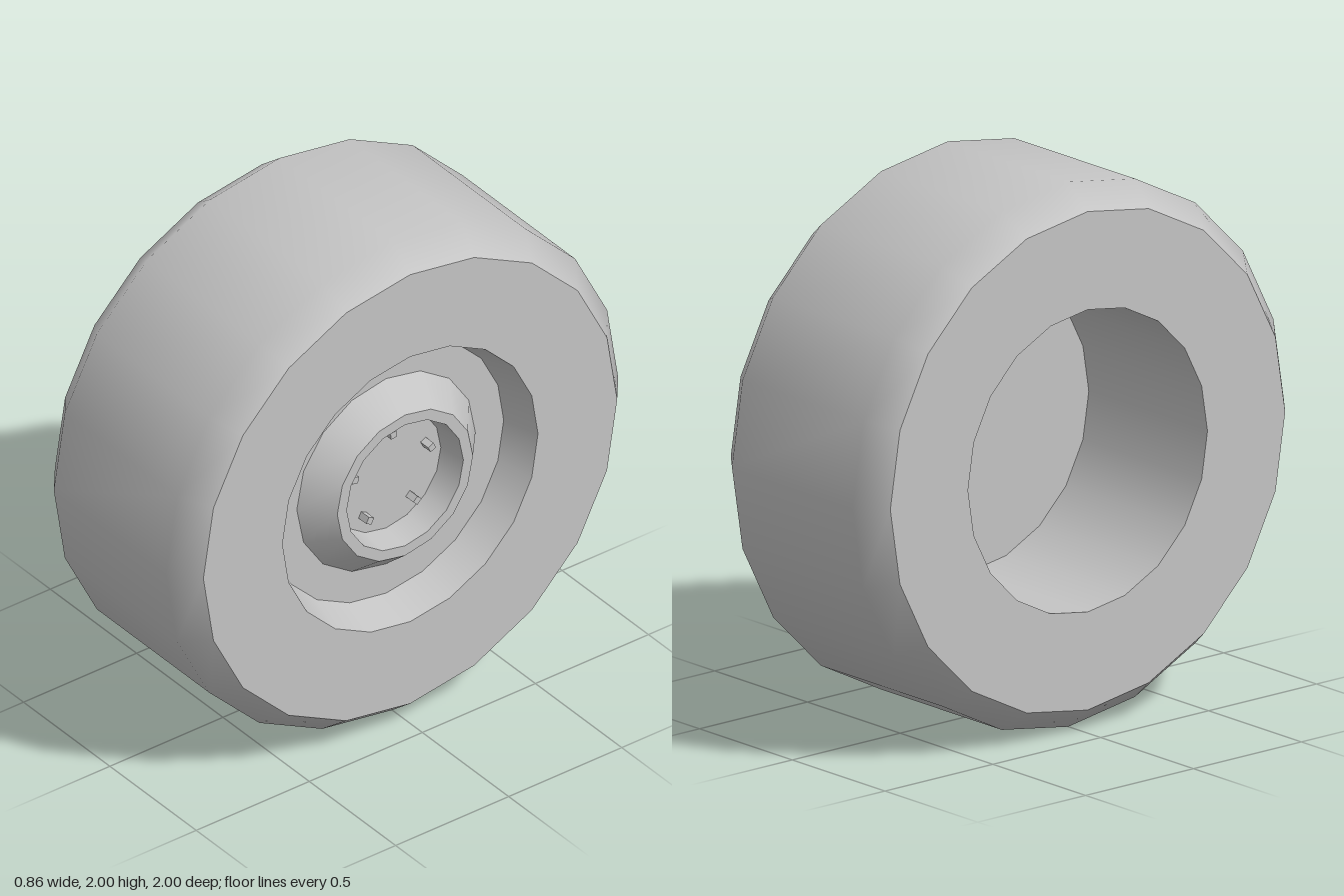
import * as THREE from 'three';

export function createModel() {
  const grey = new THREE.MeshStandardMaterial({ color: 0xc4c4c4 });
  grey.name = 'plain grey';

  const wheel = new THREE.Group();
  wheel.name = 'wheel';
  wheel.position.y = 1;

  // Turn a profile of [x, radius] points around the x axle
  function ring(name, sides, profile, parent) {
    const points = profile.map(([x, r]) => new THREE.Vector2(r, x));
    const geometry = new THREE.LatheGeometry(points, sides);
    geometry.rotateZ(-Math.PI / 2);
    const mesh = new THREE.Mesh(geometry, grey);
    mesh.name = name;
    parent.add(mesh);
  }

  // Tyre: rounded tread, two flat sidewalls
  const tyre = new THREE.Group();
  tyre.name = 'tyre';
  ring('tread', 20, [[-0.43, 0.915], [-0.325, 1], [0.325, 1], [0.43, 0.915]], tyre);
  ring('outerSidewall', 20, [[0.43, 0.915], [0.43, 0.565]], tyre);
  ring('innerSidewall', 20, [[-0.43, 0.555], [-0.43, 0.915]], tyre);

  // Rim: tapered outer step, plate and open barrel behind it
  const rim = new THREE.Group();
  rim.name = 'rim';
  ring('rimStep', 20, [[0.43, 0.565], [0.29, 0.52]], rim);
  ring('rimPlate', 20, [[0.29, 0.52], [0.29, 0.36]], rim);
  ring('rimBack', 20, [[0.21, 0], [0.21, 0.555]], rim);
  ring('barrel', 20, [[0.21, 0.555], [-0.43, 0.555]], rim);

  // Hub: raised cone with a recessed centre
  const hub = new THREE.Group();
  hub.name = 'hub';
  ring('hubCone', 16, [[0.29, 0.395], [0.4, 0.3]], hub);
  ring('hubLip', 16, [[0.4, 0.3], [0.4, 0.258]], hub);
  ring('hubWall', 16, [[0.4, 0.258], [0.29, 0.242]], hub);
  ring('hubFloor', 16, [[0.29, 0.242], [0.29, 0]], hub);

  // Five square lug bolts
  for (let i = 0; i < 5; i++) {
    const angle = (i / 5) * Math.PI * 2;
    const bolt = new THREE.Mesh(new THREE.BoxGeometry(0.05, 0.026, 0.026), grey);
    bolt.name = 'lugBolt';
    bolt.position.set(0.31, Math.cos(angle) * 0.178, Math.sin(angle) * 0.178);
    bolt.rotation.x = angle + 0.15;
    hub.add(bolt);
  }

  wheel.add(tyre, rim, hub);
  const model = new THREE.Group();
  model.add(wheel);
  return model;
}
